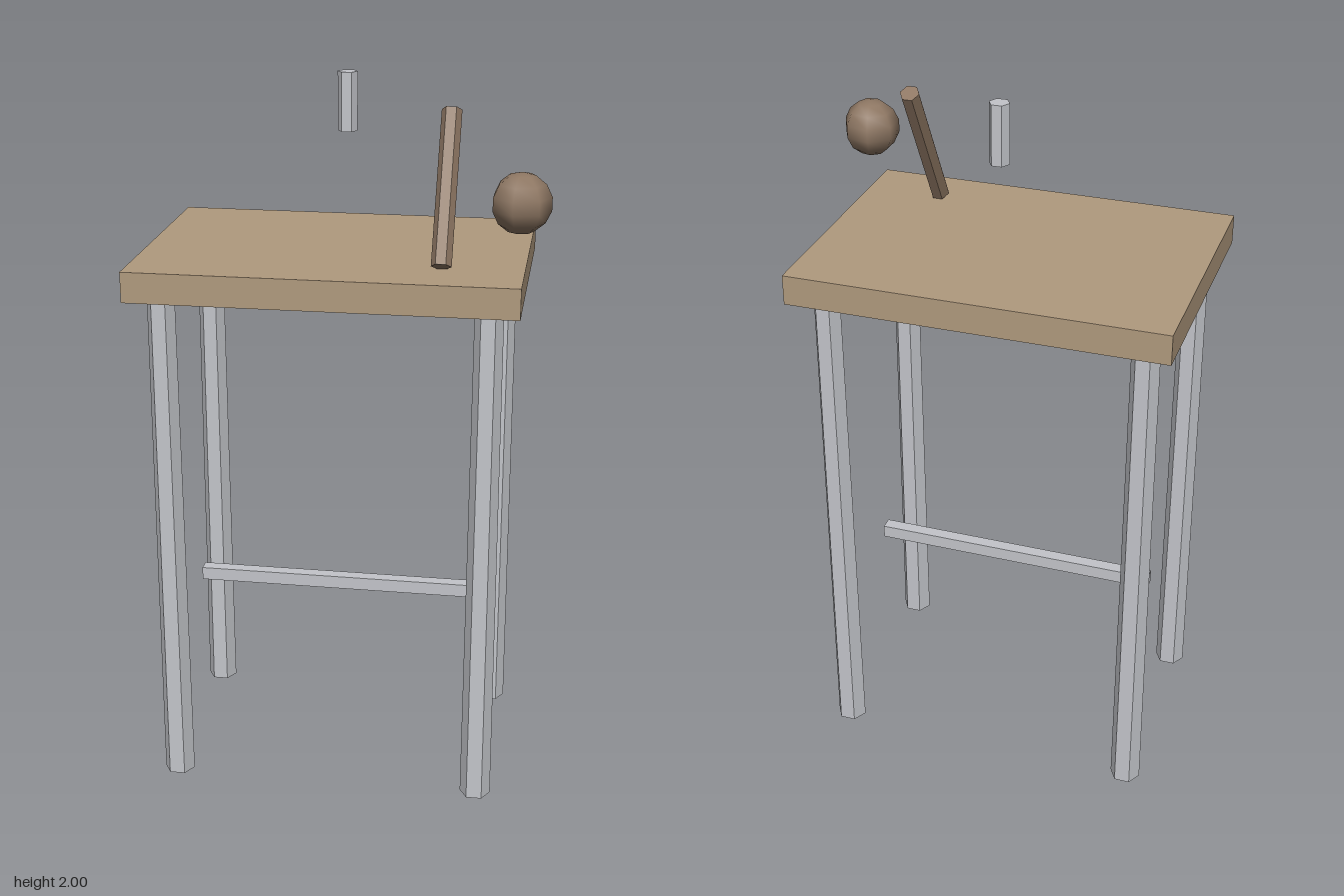
import * as THREE from 'three';

const wood = new THREE.MeshStandardMaterial({ color: 0xb09a7e });
wood.name = 'light wood';
const brown = new THREE.MeshStandardMaterial({ color: 0x8e7763 });
brown.name = 'dark brown';
const metal = new THREE.MeshStandardMaterial({ color: 0xc3c5ca });
metal.name = 'pale grey';

// Six-sided post with flat faces and corners pointing along x
function hexPost(topRadius, bottomRadius, height) {
  const geometry = new THREE.CylinderGeometry(topRadius, bottomRadius, height, 6)
    .rotateY(Math.PI / 2)
    .toNonIndexed();
  geometry.computeVertexNormals();
  return geometry;
}

export function createModel() {
  const model = new THREE.Group();
  model.name = 'table';
  const add = (name, geometry, material, x, y, z) => {
    const mesh = new THREE.Mesh(geometry, material);
    mesh.name = name;
    mesh.position.set(x, y, z);
    model.add(mesh);
    return mesh;
  };
  const midX = -0.035;

  // Table top, bottom face at the leg tops
  add('tableTop', new THREE.BoxGeometry(1.05, 0.084, 0.744), wood, midX, 1.502, 0);

  // Four legs, slightly wider at the foot
  const legGeometry = hexPost(0.0385, 0.0437, 1.46);
  for (const [side, sx] of [['Left', 1], ['Right', -1]]) {
    for (const [end, sz] of [['front', 1], ['back', -1]]) {
      add(`${end}${side}Leg`, legGeometry, metal, midX + sx * 0.44, 0.73, sz * 0.286);
    }
  }

  // Crossbar between the legs
  add('crossbar', new THREE.BoxGeometry(0.84, 0.038, 0.038), metal, midX, 0.51, 0);

  // Short post floating above the top
  add('shortPost', hexPost(0.028, 0.028, 0.164), metal, -0.034, 1.918, -0.138);

  // Stick leaning towards the back
  const stick = add('leaningStick', hexPost(0.0275, 0.0275, 0.43), brown, 0.272, 1.744, 0.131);
  stick.rotation.x = -0.52;

  // Smooth ball with few segments, one corner towards +x
  const ball = new THREE.SphereGeometry(0.081, 7, 7).rotateY(Math.PI);
  add('ball', ball, brown, 0.475, 1.733, 0.234);

  return model;
}
